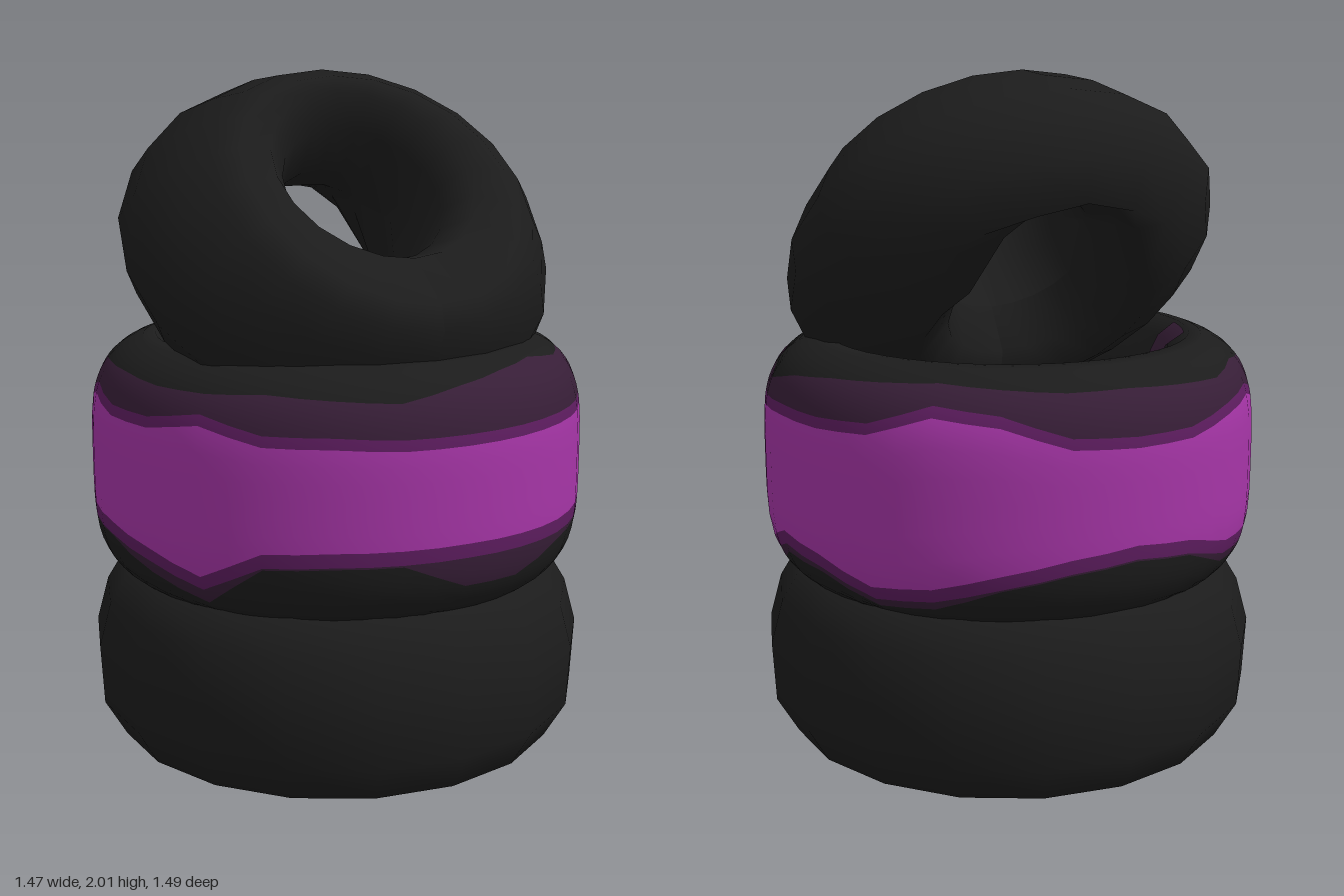
import * as THREE from 'three';
import { ParametricGeometry } from 'three/addons/geometries/ParametricGeometry.js';

const flat = (color, name) => {
  const m = new THREE.MeshStandardMaterial({ color });
  m.name = name;
  return m;
};

// Ring, or part of one, turned from a list of [radius, height] points
const ring = (pts, sides, start = 0, sweep = Math.PI * 2) =>
  new THREE.LatheGeometry(pts.map(([r, y]) => new THREE.Vector2(r, y)), sides, start, sweep);

// Reads a table of heights spaced evenly around the tyre, starting at the front
const around = (table) => (u) => {
  const f = u * table.length, i = Math.floor(f), n = table.length;
  return THREE.MathUtils.lerp(table[i % n], table[(i + 1) % n], f - i);
};

// Rounded sidewall and tread of the middle tyre
const treadRadius = (y) => {
  const t = (y - 0.88) / 0.37;
  return 0.5 + 0.235 * Math.sqrt(Math.max(0, 1 - t ** 4));
};

// Strip of the tread between two wavy heights
const band = (low, high) => new ParametricGeometry((u, v, out) => {
  const y = THREE.MathUtils.lerp(low(u), high(u), v);
  const r = treadRadius(y), a = u * Math.PI * 2;
  out.set(r * Math.sin(a), y, r * Math.cos(a));
}, 48, 6);

export function createModel() {
  const group = new THREE.Group();
  const rubber = flat(0x1c1c1c, 'black rubber');
  const paint = flat(0xa635a7, 'purple paint');
  const edge = flat(0x5e1d60, 'thin purple paint');
  const stain = flat(0x371e37, 'faded purple stain');
  const add = (geometry, material, name) => {
    const mesh = new THREE.Mesh(geometry, material);
    mesh.name = name;
    group.add(mesh);
  };

  // Bottom tyre, lying flat
  add(ring([
    [0.38, 0.12], [0.42, 0.02], [0.55, 0], [0.67, 0.04], [0.735, 0.15], [0.745, 0.33],
    [0.71, 0.46], [0.65, 0.56], [0.5, 0.6], [0.4, 0.58], [0.37, 0.48], [0.36, 0.3], [0.38, 0.12],
  ], 18), rubber, 'bottomTyre');

  // Middle tyre: inner wall, floor inside the stack, then painted bands upwards
  add(ring([
    [0.577, 1.24], [0.54, 1.245], [0.48, 1.2], [0.42, 1.08], [0.38, 0.9], [0.38, 0.65],
    [0.42, 0.53], [0.5, 0.51],
  ], 48), rubber, 'middleTyreInside');
  add(new THREE.CylinderGeometry(0.4, 0.4, 0.01, 24).translate(0, 0.6, 0), rubber, 'innerFloor');
  const paintLow = around([0.77, 0.765, 0.76, 0.76, 0.76, 0.65, 0.72, 0.7, 0.64, 0.66, 0.71, 0.75,
    0.77, 0.75, 0.7, 0.69, 0.75, 0.76, 0.75, 0.72, 0.67, 0.76, 0.77, 0.77]);
  const paintHigh = around([1.04, 1.04, 1.04, 1.04, 1.05, 1.05, 1.06, 1.06, 1.07, 1.13, 1.11, 1.05,
    1.04, 1.04, 1.07, 1.09, 1.04, 1.09, 1.06, 1.06, 1.09, 1.05, 1.05, 1.04]);
  const drip = around([0.08, 0.08, 0.02, 0, 0.02, 0.04, 0.02, 0.01, 0.02, 0.02, 0, 0,
    0, 0, 0.02, 0.02, 0, 0, 0, 0.03, 0.04, 0, 0, 0]);
  const fade = around([0.12, 0.14, 0.15, 0.13, 0.12, 0.05, 0.08, 0.1, 0.1, 0.05, 0.06, 0.11,
    0.12, 0.11, 0.07, 0.07, 0.1, 0.06, 0.09, 0.08, 0.05, 0.1, 0.09, 0.09]);
  const edgeLow = (u) => paintLow(u) - 0.04;
  const edgeHigh = (u) => paintHigh(u) + 0.03;
  const stainLow = (u) => edgeLow(u) - drip(u) - 0.005;
  const stainHigh = (u) => edgeHigh(u) + fade(u);
  add(band(() => 0.51, stainLow), rubber, 'middleTyreLowerWall');
  add(band(stainLow, edgeLow), stain, 'lowerStain');
  add(band(edgeLow, paintLow), edge, 'lowerPaintEdge');
  add(band(paintLow, paintHigh), paint, 'paintStripe');
  add(band(paintHigh, edgeHigh), edge, 'upperPaintEdge');
  add(band(edgeHigh, stainHigh), stain, 'upperStain');
  add(band(stainHigh, () => 1.24), rubber, 'middleTyreUpperWall');

  // Stains on the inner walls: [start angle, sweep]
  for (const [start, sweep] of [[1.25, 0.35], [1.92, 0.35], [2.37, 0.35], [4.1, 0.35]])
    add(ring([[0.525, 1.242], [0.474, 1.204], [0.413, 1.08]], 6, start, sweep), stain, 'innerStain');
  add(ring([[0.365, 0.16], [0.373, 0.115], [0.415, 0.012], [0.47, 0.005]], 6, 4.2, 0.45),
    stain, 'bottomInnerStain');

  // Top tyre, smaller, leaning back with its front edge sunk in the stack
  const top = ring([
    [0.22, -0.1], [0.26, -0.24], [0.36, -0.31], [0.5, -0.25], [0.61, -0.16], [0.67, -0.05],
    [0.65, 0.06], [0.57, 0.18], [0.49, 0.27], [0.42, 0.31], [0.31, 0.29], [0.245, 0.2],
    [0.22, 0.05], [0.22, -0.1],
  ], 20);
  const p = top.attributes.position;
  // Set the hole slightly high, and squash the tread, least at the lower front
  for (let i = 0; i < p.count; i++) {
    const z = p.getZ(i);
    const swell = z > 0 ? 0.16 * THREE.MathUtils.clamp((p.getY(i) - 0.1) / 0.2, 0, 1) : 0;
    const inHole = Math.hypot(p.getX(i), z) < 0.33;
    p.setZ(i, inHole ? z - 0.03 : z * (0.915 + swell));
  }
  top.rotateX(Math.PI / 4).translate(0, 1.5, 0.04);
  // Raise the back of the hole so that it opens right through
  for (let i = 0; i < p.count; i++) {
    const x = Math.abs(p.getX(i)), y = p.getY(i), z = p.getZ(i);
    const upperHalf = y - z > 1.48;
    if (upperHalf && x < 0.24) p.setY(i, Math.max(y, 1.66 - Math.max(0, x - 0.1) * 0.8));
  }
  top.computeVertexNormals();
  add(top, rubber, 'topTyre');

  return group;
}
